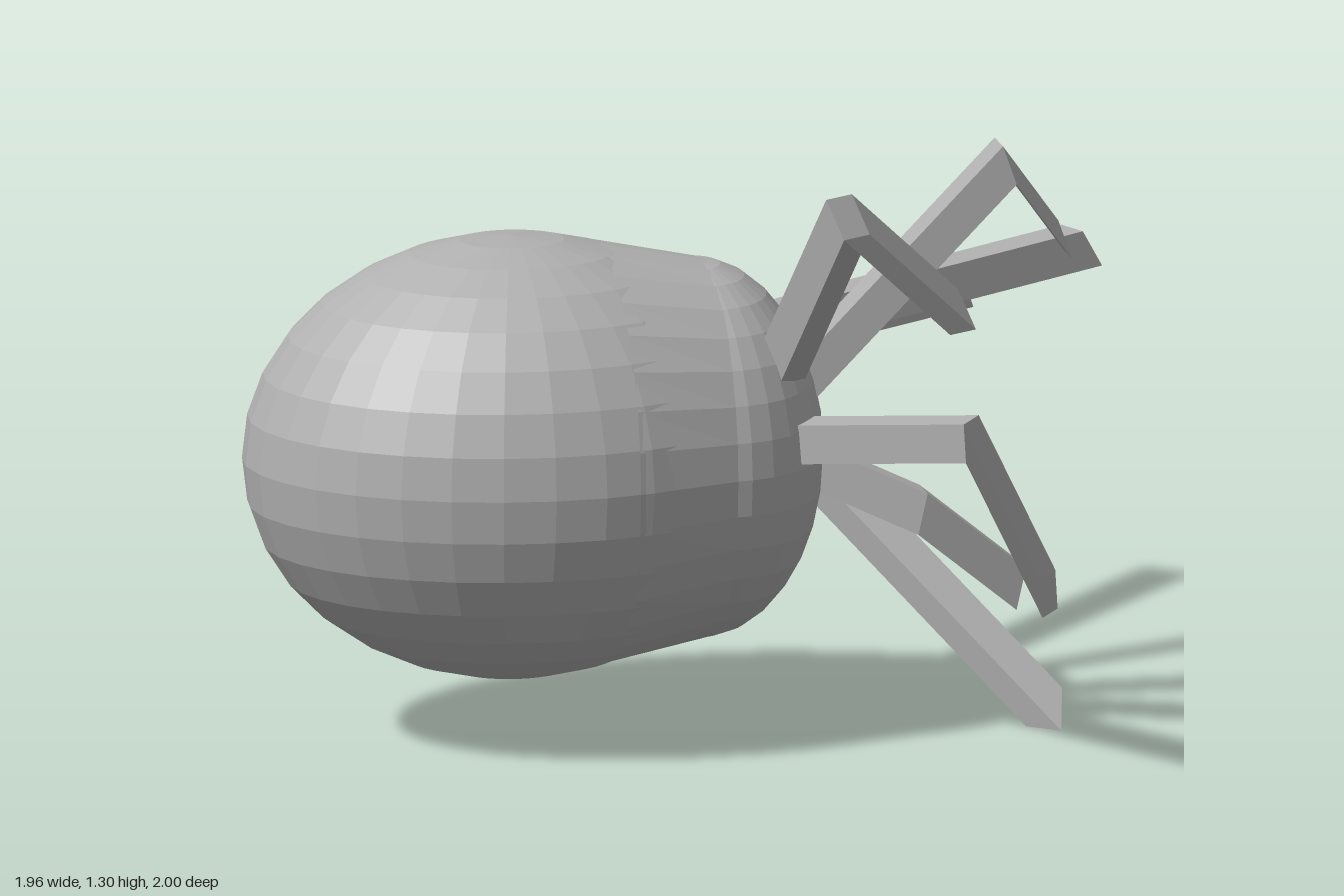
import * as THREE from 'three';

const bodyMat = new THREE.MeshStandardMaterial({ color: 0xb0b0b0, flatShading: true });
bodyMat.name = 'plain grey';

const V = (a) => new THREE.Vector3(...a);

// Prism made by sliding a parallelogram section (edges u, v) from a to b
function slidPrism(a, b, u, v) {
  const dir = b.clone().sub(a);
  const flip = u.clone().cross(v).dot(dir) < 0;
  const [s, t] = flip ? [v, u] : [u, v];
  const points = [];
  for (const c of [a, b]) {
    for (const [i, j] of [[-1, -1], [1, -1], [1, 1], [-1, 1]]) {
      const p = c.clone().addScaledVector(s, i / 2).addScaledVector(t, j / 2);
      points.push(p.x, p.y, p.z);
    }
  }
  const index = [0, 2, 1, 0, 3, 2, 4, 5, 6, 4, 6, 7];
  for (let i = 0; i < 4; i++) {
    const j = (i + 1) % 4;
    index.push(i, j, j + 4, i, j + 4, i + 4);
  }
  const geo = new THREE.BufferGeometry();
  geo.setAttribute('position', new THREE.Float32BufferAttribute(points, 3));
  geo.setIndex(index);
  const flat = geo.toNonIndexed();
  flat.computeVertexNormals();
  return flat;
}

function addMesh(parent, name, geo) {
  const mesh = new THREE.Mesh(geo, bodyMat);
  mesh.name = name;
  parent.add(mesh);
  return mesh;
}

// Each leg: joints along its path and the two edges of its section
const legs = [
  { name: 'rearLeg', path: [[0.08, 0.775, -0.12], [0.77, 0.695, -0.96]], u: [0.075, 0, 0.065], v: [0.03, -0.08, -0.03] },
  { name: 'upperRearLeg', path: [[0.13, 0.835, 0.01], [0.945, 0.905, -0.385]], u: [0.032, 0, 0.075], v: [0.045, -0.08, -0.015] },
  { name: 'upperMiddleLeg', path: [[0.21, 0.75, 0.165], [0.635, 1.255, 0.325], [0.835, 1.0, -0.065]], u: [0, 0, 0.09], v: [0.03, -0.085, 0] },
  { name: 'upperFrontLeg', path: [[0.15, 0.84, 0.33], [0.225, 1.22, 0.65], [0.495, 0.96, 0.46]], u: [0.065, 0, -0.045], v: [0.03, -0.08, 0.045] },
  { name: 'frontLeg', path: [[0.19, 0.665, 0.33], [0.435, 0.79, 0.95], [0.665, 0.375, 0.64]], u: [0.05, 0, -0.085], v: [0.005, -0.085, 0] },
  { name: 'lowerMiddleLeg', path: [[0.24, 0.58, 0.175], [0.46, 0.485, 0.255], [0.68, 0.305, 0.225]], u: [0, 0, 0.09], v: [-0.02, -0.09, 0] },
  { name: 'lowerRearLeg', path: [[0.17, 0.66, -0.15], [0.73, 0.045, 0.27]], u: [0.065, 0, 0.055], v: [-0.005, -0.09, 0.015] },
];

export function createModel() {
  const model = new THREE.Group();
  model.name = 'creature';

  // Body: large abdomen, small head and a tapering collar between them
  const body = new THREE.Group();
  body.name = 'body';
  body.position.set(0, 0.615, 0.12);
  model.add(body);

  const ball = new THREE.SphereGeometry(1, 32, 16);
  const abdomen = addMesh(body, 'abdomen', ball);
  abdomen.position.x = -0.4;
  abdomen.scale.set(0.58, 0.48, 0.48);

  const head = addMesh(body, 'head', ball);
  head.scale.set(0.27, 0.41, 0.365);

  const collarGeo = new THREE.CylinderGeometry(1, 1, 1, 32, 1, true);
  collarGeo.rotateZ(-Math.PI / 2);
  const pos = collarGeo.attributes.position;
  for (let i = 0; i < pos.count; i++) {
    const front = pos.getX(i) > 0;
    pos.setXYZ(i, front ? 0.02 : -0.21, pos.getY(i) * (front ? 0.408 : 0.453), pos.getZ(i) * (front ? 0.364 : 0.453));
  }
  collarGeo.computeVertexNormals();
  addMesh(body, 'collar', collarGeo);

  // Legs
  for (const { name, path, u, v } of legs) {
    const leg = new THREE.Group();
    leg.name = name;
    for (let i = 0; i + 1 < path.length; i++) {
      addMesh(leg, i === 0 ? 'upperSegment' : 'lowerSegment', slidPrism(V(path[i]), V(path[i + 1]), V(u), V(v)));
    }
    model.add(leg);
  }
  return model;
}
